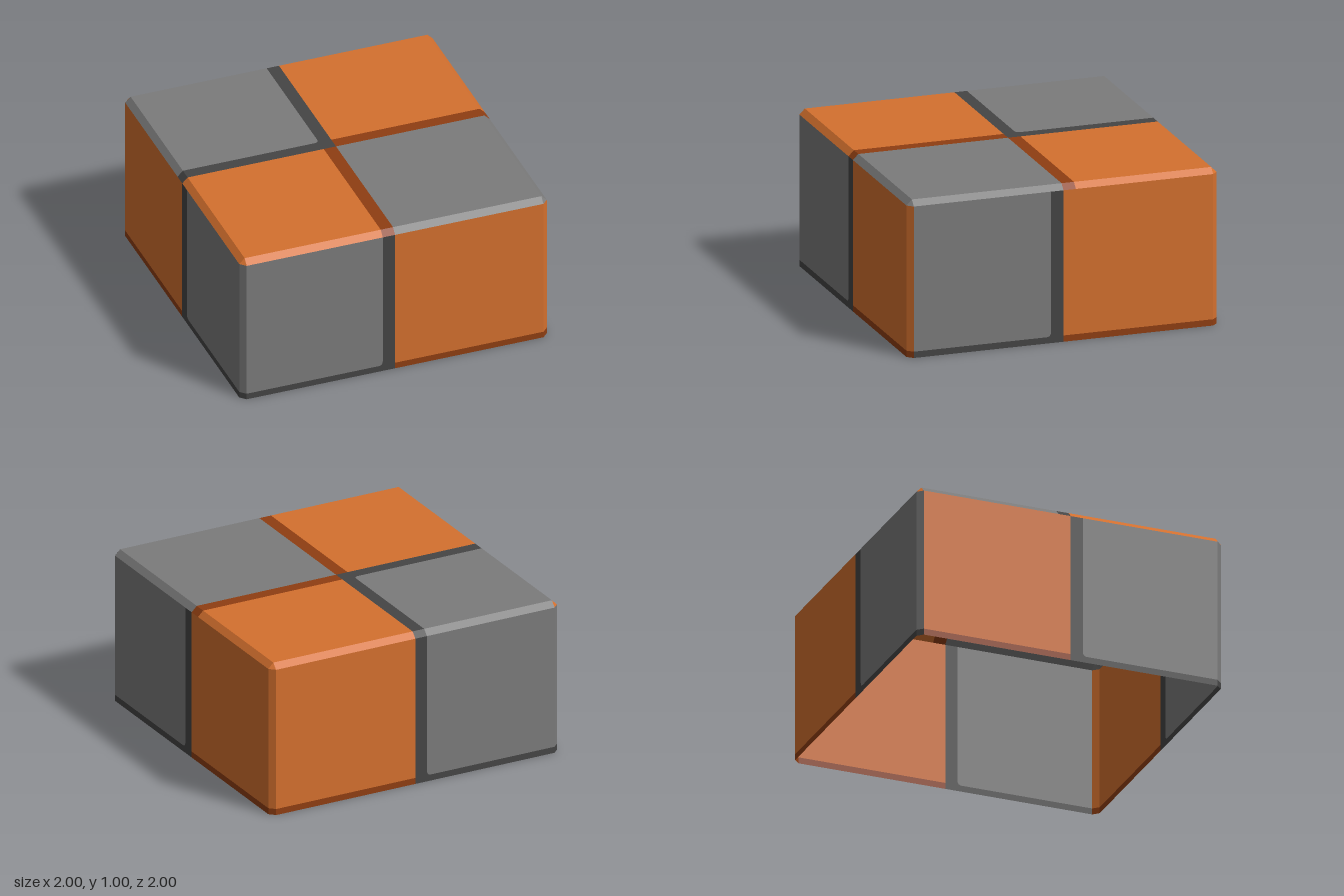
import * as THREE from 'three';

const C = 0.035;      // chamfer size
const A = 1 - C;      // where flat faces end
const GAP = 0.08;     // seam width
const SILL = 0.04;    // height of the lower border
const R = 0.03;       // rounded panel corner

export function createModel() {
  const mat = (name, color) => {
    const m = new THREE.MeshStandardMaterial({ color, side: THREE.DoubleSide });
    m.name = name;
    return m;
  };
  const orange = mat('orange', 0xd4702e);
  const darkOrange = mat('dark orange', 0x8f3e12);
  const gray = mat('gray', 0x7b7b7b);
  const darkGray = mat('dark gray', 0x454545);

  const model = new THREE.Group();
  model.name = 'checkeredBlock';

  const add = (parent, name, geometry, material) => {
    const mesh = new THREE.Mesh(geometry, material);
    mesh.name = name;
    parent.add(mesh);
    return mesh;
  };
  const polygon = (points) => new THREE.Shape(points.map(([x, y]) => new THREE.Vector2(x, y)));
  const rect = (parent, name, x0, y0, x1, y1, material) =>
    add(parent, name, new THREE.ShapeGeometry(polygon([[x0, y0], [x1, y0], [x1, y1], [x0, y1]])), material);

  // Gray panel with one rounded corner, and the L-shaped border around that corner
  const borderedPanel = (parent, m, innerY) => {
    const x0 = -A * m, x1 = -GAP * m;
    const trace = (s) => {
      s.moveTo(x0, innerY);
      s.lineTo(x1 - R * m, innerY);
      s.quadraticCurveTo(x1, innerY, x1, innerY + R);
      s.lineTo(x1, A);
      return s;
    };
    const panel = trace(new THREE.Shape());
    panel.lineTo(x0, A);
    const border = trace(new THREE.Shape());
    border.lineTo(0, A);
    border.lineTo(0, 0);
    border.lineTo(x0, 0);
    add(parent, 'grayPanel', new THREE.ShapeGeometry(panel, 6), gray);
    add(parent, 'grayBorder', new THREE.ShapeGeometry(border, 6), darkGray);
  };

  // Four walls, each with its strip of top chamfer: [from, to, material]
  const sides = [
    { name: 'frontWall', turn: 0, m: 1,
      strips: [[-A, -GAP, orange], [-GAP, 0, darkOrange], [0, A, gray]] },
    { name: 'leftWall', turn: 1, m: 1,
      strips: [[-A, 0, gray], [0, GAP, darkOrange], [GAP, A, orange]] },
    { name: 'backWall', turn: 2, m: -1,
      strips: [[-A, 0, orange], [0, GAP, darkGray], [GAP, A, gray]] },
    { name: 'rightWall', turn: 3, m: -1,
      strips: [[-A, -GAP, gray], [-GAP, 0, darkGray], [0, A, orange]] },
  ];
  for (const { name, turn, m, strips } of sides) {
    const side = new THREE.Group();
    side.name = name;
    side.rotation.y = turn * Math.PI / 2;
    model.add(side);

    const face = new THREE.Group();
    face.name = name + 'Face';
    face.position.z = 1;
    side.add(face);
    borderedPanel(face, m, SILL);
    rect(face, 'orangePanel', 0, SILL, A * m, A, orange);
    rect(face, 'orangeSill', 0, 0, A * m, SILL, darkOrange);

    for (const [from, to, material] of strips) {
      const strip = add(side, 'topChamfer', new THREE.PlaneGeometry(to - from, C * Math.SQRT2), material);
      strip.position.set((from + to) / 2, 1 - C / 2, 1 - C / 2);
      strip.rotation.x = -Math.PI / 4;
    }
  }

  // Upright corner chamfers and the small triangles above them
  const corners = [
    [1, 1, orange, darkOrange, gray],
    [1, -1, orange, darkOrange, orange],
    [-1, -1, gray, darkGray, orange],
    [-1, 1, gray, darkGray, orange],
  ];
  for (const [sx, sz, main, sill, tip] of corners) {
    for (const [y0, y1, material] of [[0, SILL, sill], [SILL, A, main]]) {
      const edge = add(model, 'cornerChamfer', new THREE.PlaneGeometry(C * Math.SQRT2, y1 - y0), material);
      edge.position.set(sx * (1 - C / 2), (y0 + y1) / 2, sz * (1 - C / 2));
      edge.rotation.y = Math.atan2(sx, sz);
    }
    const a = [sx * A, 1, sz * A], b = [sx * A, A, sz], c = [sx, A, sz * A];
    const points = sx * sz > 0 ? [a, b, c] : [a, c, b];
    const tri = new THREE.BufferGeometry();
    tri.setAttribute('position', new THREE.Float32BufferAttribute(points.flat(), 3));
    tri.computeVertexNormals();
    add(model, 'cornerTip', tri, tip);
  }

  // Top face: drawn in x and -z, then laid flat
  const top = new THREE.Group();
  top.name = 'topFace';
  top.rotation.x = -Math.PI / 2;
  top.position.y = 1;
  model.add(top);
  borderedPanel(top, 1, GAP);
  rect(top, 'grayQuarter', 0, -A, A, 0, gray);
  rect(top, 'orangeBackQuarter', 0, GAP, A, A, orange);
  rect(top, 'orangeBackSeam', 0, 0, A, GAP, darkOrange);
  rect(top, 'orangeFrontQuarter', -A, -A, -GAP, 0, orange);
  rect(top, 'orangeFrontSeam', -GAP, -A, 0, 0, darkOrange);

  return model;
}
